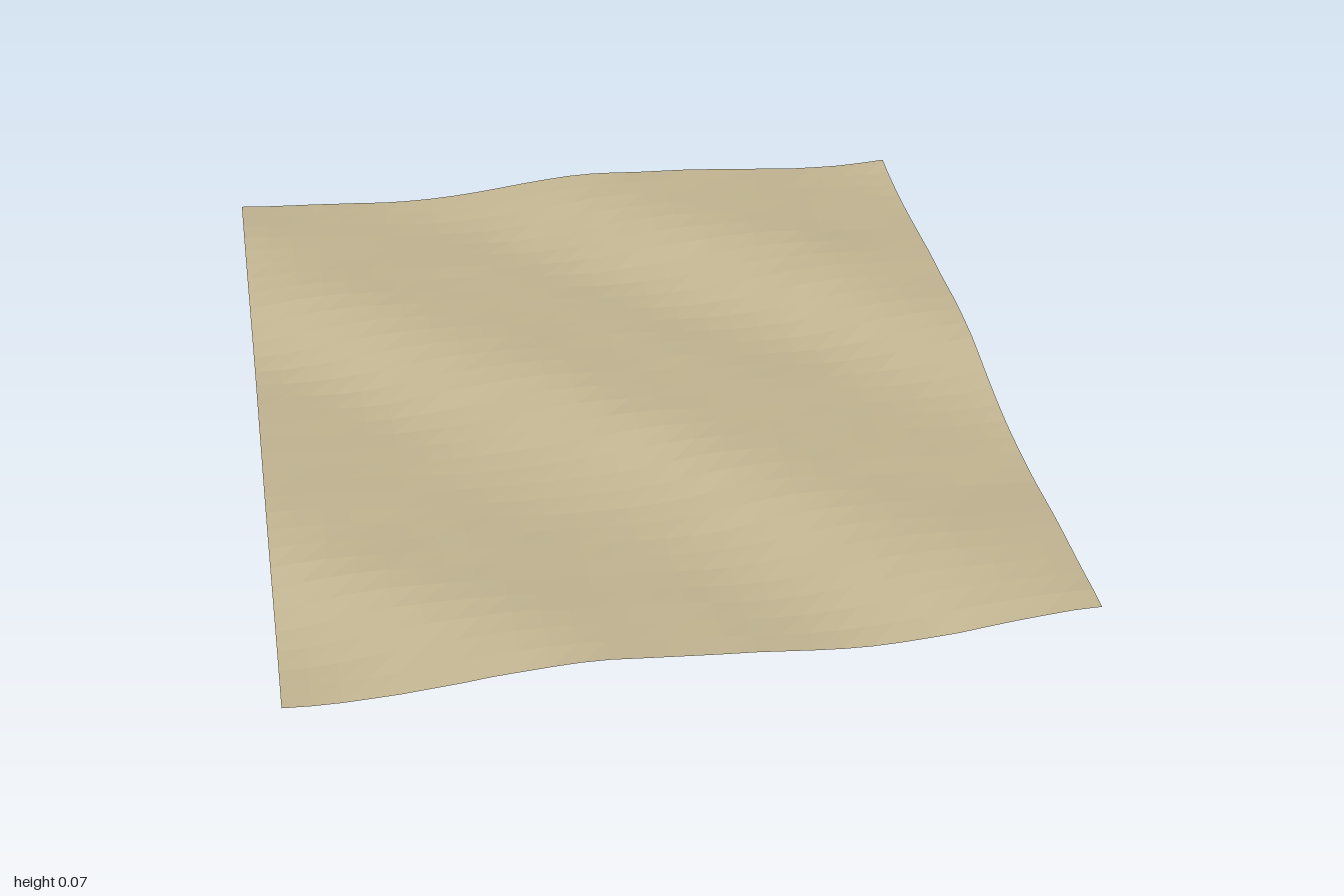
import * as THREE from 'three';

const WIDTH = 1.77, DEPTH = 1.996;

// Repeatable value in -1..1 for a lattice point
function hash(i, j) {
  const s = Math.sin(i * 127.1 + j * 311.7) * 43758.5453;
  return (s - Math.floor(s)) * 2 - 1;
}

// Smoothly blended lattice noise
function noise(x, z) {
  const i = Math.floor(x), j = Math.floor(z);
  const a = THREE.MathUtils.smoothstep(x - i, 0, 1);
  const b = THREE.MathUtils.smoothstep(z - j, 0, 1);
  const lerp = THREE.MathUtils.lerp;
  return lerp(lerp(hash(i, j), hash(i + 1, j), a), lerp(hash(i, j + 1), hash(i + 1, j + 1), a), b);
}

// Gentle tilt towards the front, diagonal dunes, and fine roughness
function height(x, z) {
  const u = x - z + 0.06 * noise(x * 2.5 + 7, z * 2.5 + 3);
  const phase = (u + 0.35) / 1.18 * Math.PI * 2;
  const dune = Math.sin(phase) + 0.2 * Math.sin(2 * phase);
  const rough = 0.003 * noise(x * 6, z * 6) + 0.0012 * noise(x * 14 + 40, z * 14);
  const y = 0.041 + 0.0115 * z + 0.0195 * dune + rough;
  const mid = 0.041 + 0.0115 * z;
  return THREE.MathUtils.clamp(y, mid - 0.024, mid + 0.025);
}

export function createModel() {
  const group = new THREE.Group();
  group.name = 'sandyGround';

  // Thin rippled sheet of sand
  const geometry = new THREE.PlaneGeometry(WIDTH, DEPTH, 28, 32);
  geometry.rotateX(-Math.PI / 2);
  const pos = geometry.attributes.position;
  for (let i = 0; i < pos.count; i++) {
    pos.setY(i, height(pos.getX(i), pos.getZ(i)));
  }
  geometry.computeVertexNormals();

  const material = new THREE.MeshStandardMaterial({
    color: 0xc2b592, flatShading: true, side: THREE.DoubleSide,
  });
  const terrain = new THREE.Mesh(geometry, material);
  terrain.name = 'terrainSurface';
  terrain.rotation.y = -0.004;
  group.add(terrain);
  return group;
}
